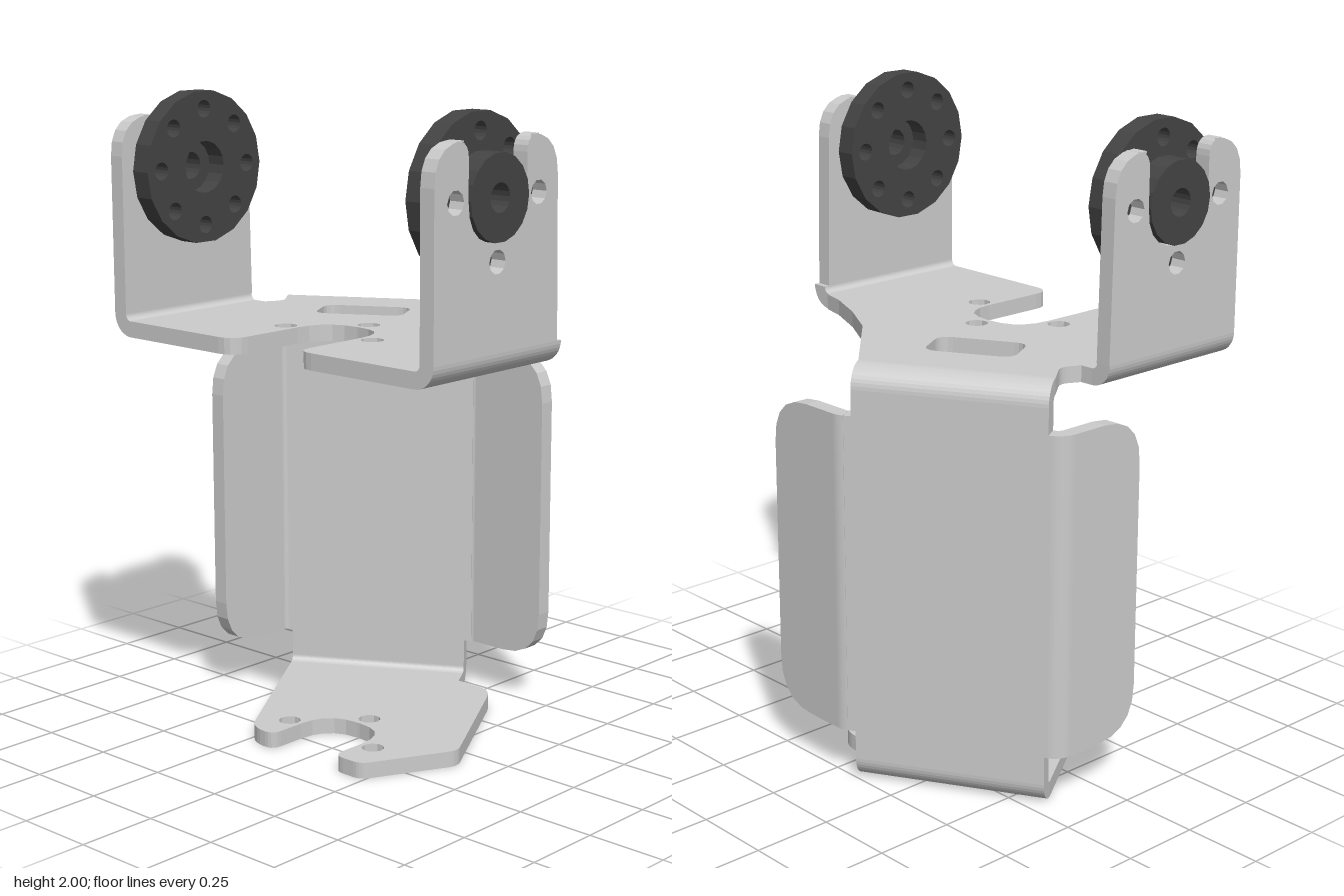
import * as THREE from 'three';

const T = 0.05;              // sheet thickness
const R = 0.07;              // outer bend radius
const AXIS_Y = 1.765, AXIS_Z = 0.26;
const C = Math.cos(Math.PI / 6), S = 0.5;

const steel = new THREE.MeshStandardMaterial({ color: 0xcccccc });
const dark = new THREE.MeshStandardMaterial({ color: 0x444444 });

// wall-aligned coordinates (along wall, away from wall) to x, z
const uv = (u, v, r = 0) => [C * u + S * v, -S * u + C * v, r];

// closed outline from [x, y, cornerRadius] points
function outline(points, Type = THREE.Shape) {
  const shape = new Type();
  const n = points.length;
  points.forEach(([x, y, r = 0], i) => {
    const toward = ([px, py]) => {
      const k = r / Math.hypot(px - x, py - y);
      return [x + (px - x) * k, y + (py - y) * k];
    };
    const a = toward(points[(i + n - 1) % n]);
    const b = toward(points[(i + 1) % n]);
    if (i) shape.lineTo(...a); else shape.moveTo(...a);
    if (r) shape.quadraticCurveTo(x, y, ...b);
  });
  shape.closePath();
  return shape;
}

function circle(x, y, r, Type = THREE.Path) {
  const p = new Type();
  p.absarc(x, y, r, 0, Math.PI * 2, false);
  return p;
}

function extrude(shape, depth, curveSegments = 5) {
  return new THREE.ExtrudeGeometry(shape, { depth, curveSegments, bevelEnabled: false });
}

// ring sector for a sheet bend, extruded along z
function bend(fromDeg, toDeg, length) {
  const a = THREE.MathUtils.degToRad(fromDeg), b = THREE.MathUtils.degToRad(toDeg);
  const s = new THREE.Shape();
  s.absarc(0, 0, R, a, b, false);
  s.absarc(0, 0, R - T, b, a, true);
  s.closePath();
  return extrude(s, length, 5);
}

function add(parent, name, geometry, x = 0, y = 0, z = 0, material = steel) {
  const mesh = new THREE.Mesh(geometry, material);
  mesh.name = name;
  mesh.position.set(x, y, z);
  parent.add(mesh);
  return mesh;
}

// horizontal plate from x, z points, with the three bolt holes around its U notch
function horizontalPlate(points, extraHoles = []) {
  const flip = ([x, z, r]) => [x, -z, r];
  const shape = outline(points.map(flip));
  for (const [x, z] of [[0, 0.08], [-0.178, 0.257], [0.178, 0.257]]) {
    shape.holes.push(circle(x, -z, 0.035));
  }
  for (const h of extraHoles) shape.holes.push(outline(h.map(flip), THREE.Path));
  return extrude(shape, T).rotateX(-Math.PI / 2);
}

// servo horn: drilled disc with a boss on its outer side
function makeHorn() {
  const horn = new THREE.Group();
  horn.name = 'horn';
  const disc = circle(0, 0, 0.235, THREE.Shape);
  disc.holes.push(circle(0, 0, 0.08));
  for (let i = 0; i < 8; i++) {
    const a = i * Math.PI / 4;
    disc.holes.push(circle(0.178 * Math.cos(a), 0.178 * Math.sin(a), 0.027));
  }
  add(horn, 'hornDisc', extrude(disc, 0.065, 9), 0, 0, 0, dark);
  const boss = circle(0, 0, 0.125, THREE.Shape);
  boss.holes.push(circle(0, 0, 0.042));
  add(horn, 'hornBoss', extrude(boss, 0.073, 9), 0, 0, 0.065, dark);
  return horn;
}

export function createModel() {
  const model = new THREE.Group();
  model.name = 'bracket';

  // top plate with rectangular slot
  add(model, 'topPlate', horizontalPlate([
    [-0.58, 0.525], [-0.13, 0.525, 0.06], [-0.13, 0.13, 0.125], [0.13, 0.13, 0.125],
    [0.13, 0.525, 0.06], [0.58, 0.525], [0.58, -0.035], [0.5, -0.055], [0.36, -0.115],
    [0.21, -0.2], uv(0.168, -0.42), uv(-0.423, -0.42),
    [-0.51, -0.07, 0.03], [-0.54, -0.012], [-0.58, -0.01],
  ], [[
    uv(-0.255, -0.263, 0.045), uv(0.025, -0.263, 0.045),
    uv(0.025, -0.105, 0.045), uv(-0.255, -0.105, 0.045),
  ]]), 0, 1.26, 0);

  // bottom plate
  add(model, 'bottomPlate', horizontalPlate([
    uv(-0.423, -0.42), [-0.225, 0.38, 0.06], [-0.13, 0.38, 0.035], [-0.13, 0.13, 0.125],
    [0.13, 0.13, 0.125], [0.13, 0.38, 0.04], [0.24, 0.38, 0.03], [0.385, 0.1, 0.03],
    [0.11, -0.385, 0.06], [-0.028, -0.385], uv(0.168, -0.42),
  ]));

  // side ears with open slot and bolt holes
  const ear = outline([
    [-0.012, 1.33], [0, 1.93, 0.12], [0.135, 1.93, 0.05], [0.135, 1.64, 0.125],
    [0.385, 1.64, 0.125], [0.385, 1.93, 0.05], [0.525, 1.93, 0.12], [0.525, 1.33],
  ]);
  for (const [dz, dy] of [[-0.178, 0], [0.178, 0], [0, -0.178]]) {
    ear.holes.push(circle(AXIS_Z + dz, AXIS_Y + dy, 0.035));
  }
  for (const side of [1, -1]) {
    const label = side > 0 ? 'left' : 'right';
    add(model, label + 'Ear', extrude(ear, T).rotateY(-Math.PI / 2), side > 0 ? 0.65 : -0.6);
    const z0 = side > 0 ? -0.03 : -0.01;
    add(model, label + 'EarBend', bend(side > 0 ? -90 : 180, side > 0 ? 0 : 270, 0.525 - z0),
      side * 0.58, 1.33, z0);
    const horn = makeHorn();
    horn.name = label + 'Horn';
    horn.rotation.y = side * Math.PI / 2;
    horn.position.set(side * 0.52, AXIS_Y, AXIS_Z);
    model.add(horn);
  }

  // back wall, turned 30 degrees, with necks leading to both plates
  const back = new THREE.Group();
  back.name = 'backWall';
  back.rotation.y = Math.PI / 6;
  model.add(back);
  add(back, 'wallPanel', extrude(outline([
    [-0.423, 0.07], [0.168, 0.07], [0.168, 0.16], [0.192, 0.16], [0.192, 1.16], [0.168, 1.16],
    [0.168, 1.24], [-0.423, 1.24], [-0.423, 1.16], [-0.433, 1.16], [-0.433, 0.16], [-0.423, 0.16],
  ]), T), 0, 0, -0.49);
  add(back, 'topBend', bend(0, 90, 0.591).rotateY(Math.PI / 2), -0.423, 1.24, -0.42);
  add(back, 'bottomBend', bend(-90, 0, 0.591).rotateY(Math.PI / 2), -0.423, 0.07, -0.42);

  // wings folded off both sides of the wall
  const wing = (start, end) => extrude(outline([
    [start, 0.16], [end, 0.16, 0.15], [end, 1.16, 0.15], [start, 1.16],
  ]), T);
  add(model, 'leftWing', wing(-0.043, 0.23), 0, 0, -0.53);
  add(model, 'rightWing', wing(-0.148, 0.12).rotateY(-Math.PI / 2), -0.605);
  add(model, 'leftWingBend', bend(90, 120, 1).rotateX(-Math.PI / 2), -0.043, 0.16, -0.46);
  add(model, 'rightWingBend', bend(120, 180, 1).rotateX(-Math.PI / 2), -0.585, 0.16, -0.148);

  return model;
}
